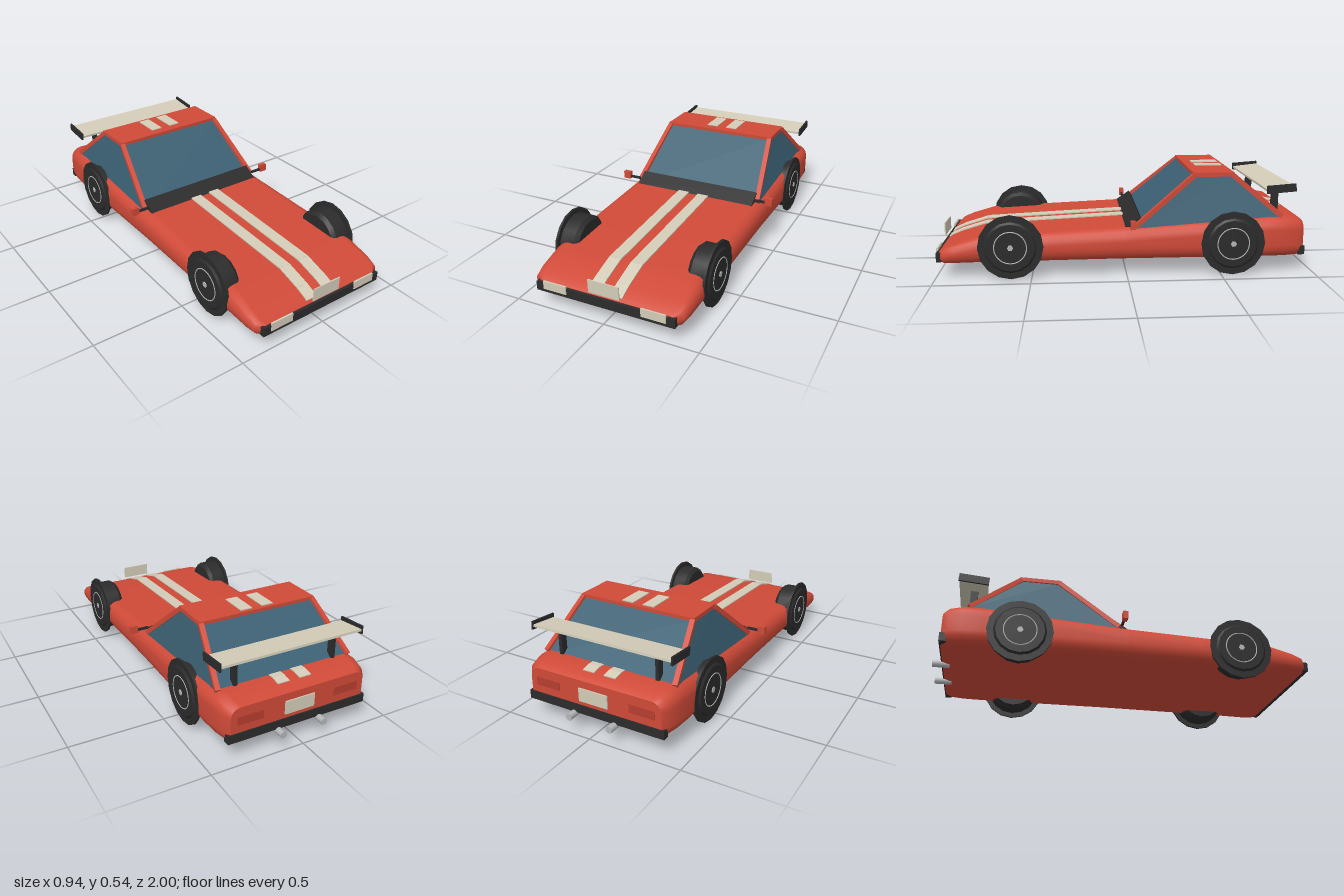
import * as THREE from 'three';
import { toCreasedNormals } from 'three/addons/utils/BufferGeometryUtils.js';

const mat = (name, color, side = THREE.FrontSide) =>
  Object.assign(new THREE.MeshStandardMaterial({ color, side }), { name });

// Lofts rounded-rectangle sections [z, halfWidth, yBottom, yTop, radius] from front to back
function loftBody(sections, steps = 4) {
  const pos = [], idx = [];
  const rings = sections.map(([z, w, y0, y1, r]) => {
    const ring = [];
    [[w - r, y0 + r], [w - r, y1 - r], [r - w, y1 - r], [r - w, y0 + r]].forEach(([cx, cy], q) => {
      for (let k = 0; k <= steps; k++) {
        const a = (q - 1 + k / steps) * Math.PI / 2;
        ring.push([cx + r * Math.cos(a), cy + r * Math.sin(a), z]);
      }
    });
    return ring;
  });
  const n = rings[0].length;
  rings.forEach(ring => ring.forEach(p => pos.push(...p)));
  for (let i = 0; i < rings.length - 1; i++) {
    for (let j = 0; j < n; j++) {
      const a = i * n + j, b = i * n + (j + 1) % n;
      idx.push(a, a + n, b, b, a + n, b + n);
    }
  }
  // End caps with their own vertices
  [rings[0], rings[rings.length - 1]].forEach((ring, end) => {
    const base = pos.length / 3;
    ring.forEach(p => pos.push(...p));
    for (let j = 1; j < n - 1; j++) {
      idx.push(base, base + (end ? j + 1 : j), base + (end ? j : j + 1));
    }
  });
  const g = new THREE.BufferGeometry();
  g.setAttribute('position', new THREE.Float32BufferAttribute(pos, 3));
  g.setIndex(idx);
  g.computeVertexNormals();
  return g;
}

export function createModel() {
  const car = new THREE.Group();
  car.name = 'sportsCar';
  const red = mat('bodyRed', 0xd04a38);
  const cream = mat('cream', 0xd3ccb8);
  const glass = mat('glass', 0x3b6073);
  const black = mat('black', 0x2b2b2b);
  const silver = mat('silver', 0xb4b6b8);
  const lampRed = mat('lampRed', 0xb83e30);

  const add = (name, geo, material, x = 0, y = 0, z = 0, parent = car) => {
    const m = new THREE.Mesh(geo, material);
    m.name = name;
    m.position.set(x, y, z);
    parent.add(m);
    return m;
  };
  const box = (name, material, w, h, d, x, y, z, parent) =>
    add(name, new THREE.BoxGeometry(w, h, d), material, x, y, z, parent);
  // Square bar or plate stretched between two points
  const bar = (name, material, a, b, w, h) => {
    const p = new THREE.Vector3(...a), q = new THREE.Vector3(...b);
    const m = box(name, material, w, h, p.distanceTo(q), 0, 0, 0);
    m.position.copy(p).add(q).multiplyScalar(0.5);
    m.lookAt(q);
    return m;
  };

  // Wedge body
  add('body', loftBody([
    [0.98, 0.365, 0.09, 0.14, 0.02],
    [0.955, 0.405, 0.085, 0.16, 0.035],
    [0.9, 0.415, 0.083, 0.183, 0.045],
    [0.77, 0.42, 0.083, 0.222, 0.06],
    [0.4, 0.418, 0.083, 0.24, 0.065],
    [0, 0.415, 0.083, 0.259, 0.07],
    [-0.4, 0.418, 0.083, 0.284, 0.07],
    [-0.75, 0.42, 0.083, 0.308, 0.07],
    [-0.85, 0.415, 0.083, 0.31, 0.07],
    [-0.92, 0.4, 0.085, 0.297, 0.065],
    [-0.95, 0.375, 0.095, 0.275, 0.05],
  ]), red);

  // Cabin glass: tapered box with its corners moved
  const cabin = new THREE.BoxGeometry(2, 2, 2).toNonIndexed();
  const p = cabin.attributes.position;
  for (let i = 0; i < p.count; i++) {
    const top = p.getY(i) > 0, front = p.getZ(i) > 0, s = Math.sign(p.getX(i));
    if (top) p.setXYZ(i, s * 0.322, 0.522, front ? -0.36 : -0.57);
    else p.setXYZ(i, s * 0.382, front ? 0.24 : 0.29, front ? -0.03 : -0.84);
  }
  cabin.computeVertexNormals();
  add('cabinGlass', cabin, glass);

  // Roof, pillars and cowl
  box('roof', red, 0.665, 0.022, 0.22, 0, 0.525, -0.465);
  for (const s of [-1, 1]) {
    bar('frontPillar', red, [s * 0.373, 0.26, -0.045], [s * 0.322, 0.522, -0.362], 0.026, 0.024);
    bar('rearPillar', red, [s * 0.373, 0.305, -0.825], [s * 0.322, 0.522, -0.568], 0.026, 0.024);
  }
  bar('cowl', black, [0, 0.245, 0], [0, 0.297, -0.078], 0.72, 0.03);

  // Racing stripes
  const stripeRuns = [
    [[0.97, 0.153], [0.955, 0.162], [0.9, 0.186], [0.77, 0.225], [0.4, 0.243], [0, 0.262]],
    [[-0.405, 0.538], [-0.555, 0.538]],
    [[-0.82, 0.311], [-0.85, 0.312], [-0.9, 0.303]],
  ];
  for (const x of [-0.062, 0.06]) {
    for (const run of stripeRuns) {
      for (let i = 0; i < run.length - 1; i++) {
        const [[z0, y0], [z1, y1]] = [run[i], run[i + 1]];
        bar('stripe', cream, [x, y0, z0], [x, y1, z1], 0.065, 0.006);
      }
    }
  }

  // Bumpers, lamps and blank plates
  box('frontBumper', black, 0.755, 0.048, 0.035, 0, 0.113, 0.977);
  box('rearBumper', black, 0.78, 0.046, 0.035, 0, 0.119, -0.938);
  box('frontPlate', cream, 0.168, 0.07, 0.006, 0.008, 0.194, 0.994);
  box('rearPlate', cream, 0.165, 0.07, 0.008, 0, 0.2, -0.953);
  for (const s of [-1, 1]) {
    box('headlight', cream, 0.13, 0.044, 0.009, s * 0.269, 0.129, 0.995);
    box('tailLight', lampRed, 0.14, 0.045, 0.006, s * 0.27, 0.205, -0.95);

    // Exhaust pipe
    const pipe = new THREE.CylinderGeometry(0.018, 0.018, 0.09, 10).rotateX(Math.PI / 2);
    add('exhaust', pipe, silver, s * 0.117, 0.088, -0.955);

    // Door mirror
    box('mirror', red, 0.042, 0.042, 0.026, s * 0.45, 0.288, -0.027);
    box('mirrorStalk', black, 0.07, 0.012, 0.012, s * 0.4, 0.28, -0.027);

    // Wing supports and end plates
    box('wingSupport', black, 0.018, 0.16, 0.038, s * 0.28, 0.368, -0.81);
    bar('wingEndPlate', black, [s * 0.396, 0.452, -0.735], [s * 0.396, 0.464, -0.89], 0.01, 0.042);
  }
  bar('wing', cream, [0, 0.447, -0.738], [0, 0.463, -0.888], 0.784, 0.012);

  // Wheels, built with the outer face toward +x
  const profile = [[0, -0.06], [0.125, -0.06], [0.143, -0.04], [0.143, 0.045], [0.125, 0.06], [0, 0.06]]
    .map(([r, y]) => new THREE.Vector2(r, y));
  const tyreGeo = toCreasedNormals(new THREE.LatheGeometry(profile, 16).rotateZ(-Math.PI / 2), 0.6);
  const flangeGeo = new THREE.CylinderGeometry(0.17, 0.17, 0.012, 16).rotateZ(Math.PI / 2);
  const ringGeo = new THREE.TorusGeometry(0.084, 0.003, 6, 28).rotateY(Math.PI / 2);
  const hubGeo = new THREE.CylinderGeometry(0.016, 0.016, 0.008, 6).rotateZ(Math.PI / 2);
  for (const s of [-1, 1]) {
    for (const [name, z] of [['frontWheel', 0.605], ['rearWheel', -0.56]]) {
      const wheel = new THREE.Group();
      wheel.name = name;
      wheel.position.set(s * 0.37, 0.172, z);
      if (s < 0) wheel.rotation.y = Math.PI;
      add('tyre', tyreGeo, black, 0, 0, 0, wheel);
      add('sidewall', flangeGeo, black, 0.045, 0, 0, wheel);
      add('rimRing', ringGeo, silver, 0.06, 0, 0, wheel);
      add('hub', hubGeo, silver, 0.06, 0, 0, wheel);
      car.add(wheel);
    }
  }
  return car;
}
